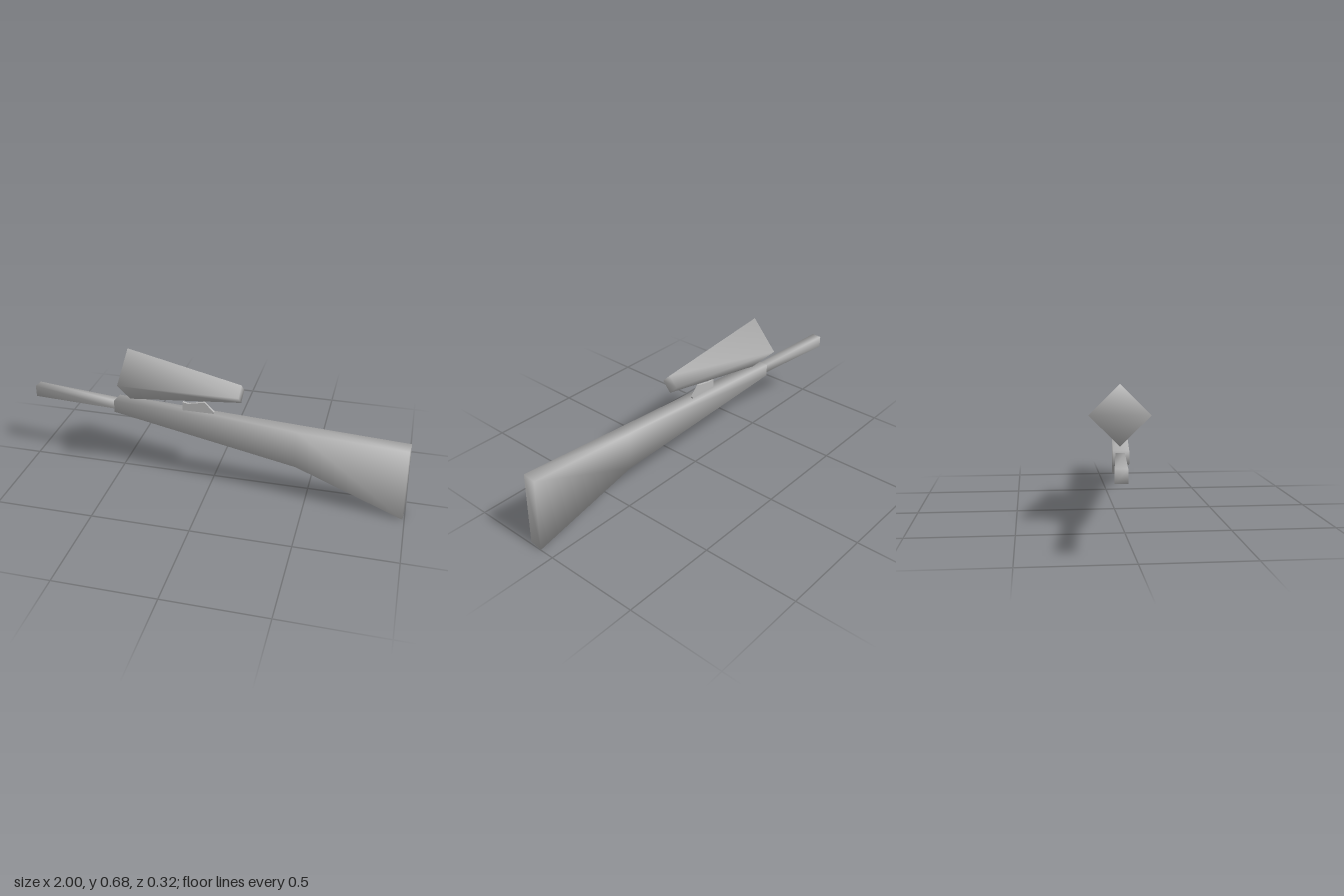
import * as THREE from 'three';

// Gives each shared vertex the plain average of its triangles' normals, whatever their size
function softenNormals(geometry) {
  const { position } = geometry.attributes;
  const index = geometry.index.array;
  const normals = Array.from({ length: position.count }, () => new THREE.Vector3());
  const triangle = new THREE.Triangle();
  const n = new THREE.Vector3();
  for (let i = 0; i < index.length; i += 3) {
    triangle.setFromAttributeAndIndices(position, index[i], index[i + 1], index[i + 2]);
    triangle.getNormal(n);
    for (let j = 0; j < 3; j++) normals[index[i + j]].add(n);
  }
  const values = normals.flatMap((v) => v.normalize().toArray());
  geometry.setAttribute('normal', new THREE.Float32BufferAttribute(values, 3));
}

// Closed solid through four-cornered sections; corners are [x, y, z], shared so shading is smooth
function loft(sections) {
  const index = [];
  const last = (sections.length - 1) * 4;
  for (let i = 0; i < last; i += 4) {
    for (let j = 0; j < 4; j++) {
      const k = (j + 1) % 4;
      index.push(i + j, i + k, i + 4 + k, i + j, i + 4 + k, i + 4 + j);
    }
  }
  index.push(0, 3, 2, 0, 2, 1, last, last + 1, last + 2, last, last + 2, last + 3);
  const geometry = new THREE.BufferGeometry();
  geometry.setAttribute('position', new THREE.Float32BufferAttribute(sections.flat(2), 3));
  geometry.setIndex(index);
  softenNormals(geometry);
  return geometry;
}

// Rectangular section, with an optional lean of the bottom edge along x
const rect = (x, bottom, top, half, lean = 0) => [
  [x, top, half], [x + lean, bottom, half], [x + lean, bottom, -half], [x, top, -half],
];

// Square section standing on its corner
const diamond = (x, y, r) => [[x, y, r], [x, y - r, 0], [x, y, -r], [x, y + r, 0]];

export function createModel() {
  const grey = new THREE.MeshStandardMaterial({ color: 0xb8b8b8 });
  grey.name = 'plain grey';

  const model = new THREE.Group();
  model.name = 'scopedRifle';
  const body = new THREE.Group();
  body.name = 'rifleBody';
  // The long axis is turned slightly off x
  body.position.z = 0.024;
  body.rotation.y = -0.0926;
  model.add(body);

  const add = (parent, name, geometry, z) => {
    const mesh = new THREE.Mesh(geometry, grey);
    mesh.name = name;
    mesh.position.z = z;
    parent.add(mesh);
  };

  // Stock: slim fore-end widening downward to the butt
  add(body, 'stock', loft([
    rect(-0.533, 0.323, 0.387, 0.038),
    rect(0.45, 0.188, 0.387, 0.038),
    rect(0.992, 0, 0.387, 0.039, 0.007),
  ]), 0.003);

  // Barrel: square tube, a little thicker at the muzzle
  add(body, 'barrel', loft([
    rect(-1.002, 0.328, 0.389, 0.027),
    rect(-0.52, 0.331, 0.377, 0.021),
  ]), 0);

  // Scope: four-sided taper on its corner
  add(body, 'scope', loft([diamond(-0.458, 0.538, 0.144), diamond(0.148, 0.526, 0.049)]), 0);

  // Mount: thin upright plate between stock and scope, square to the front
  const outline = [[-0.16, 0.388], [0.005, 0.388], [0.005, 0.396], [-0.045, 0.446], [-0.13, 0.428], [-0.16, 0.434]];
  const plate = new THREE.Shape(outline.map(([x, y]) => new THREE.Vector2(x, y)));
  add(model, 'scopeMount', new THREE.ExtrudeGeometry(plate, { depth: 0.013, bevelEnabled: false }), 0.012);

  return model;
}
